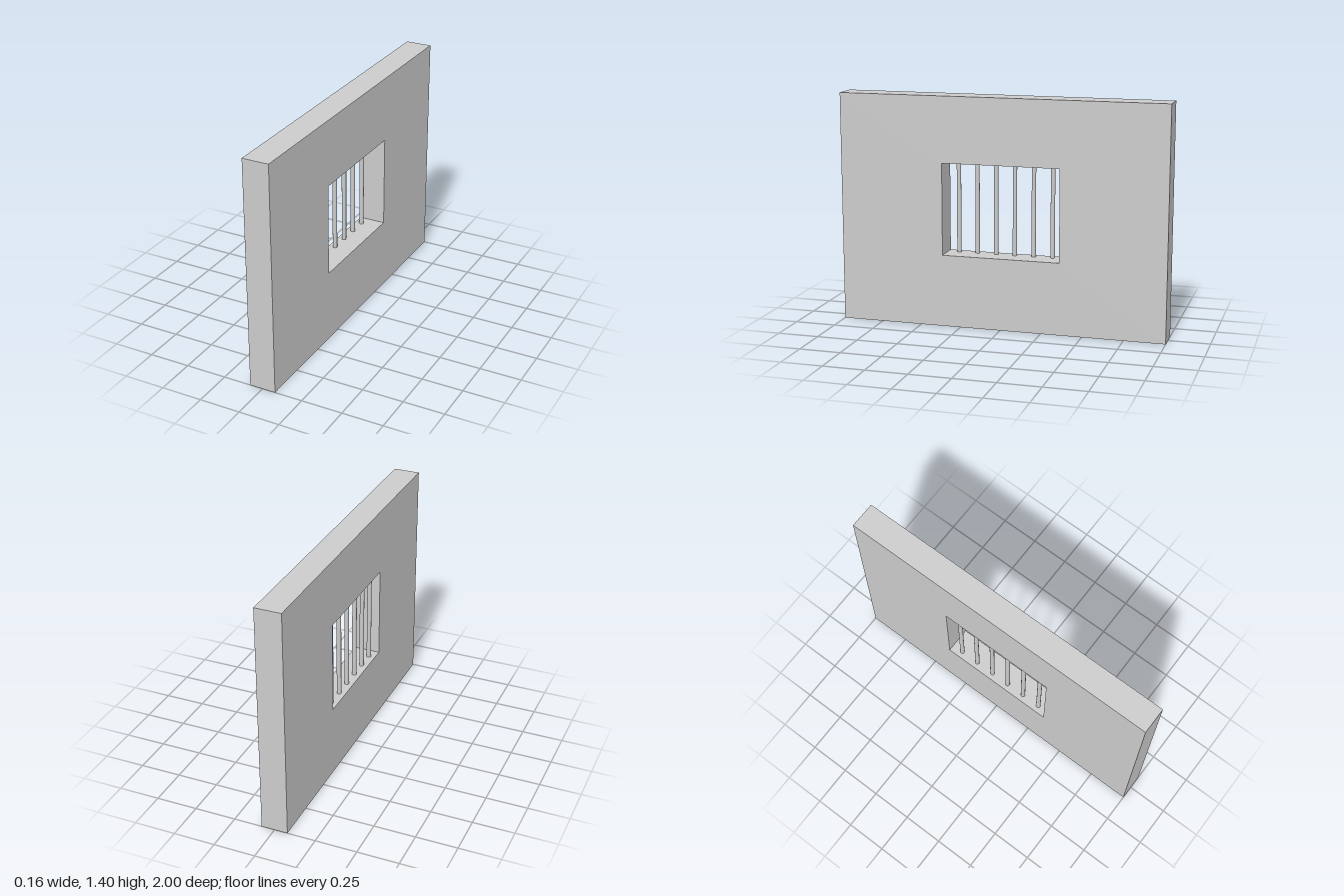
import * as THREE from 'three';

export function createModel() {
  const group = new THREE.Group();
  const material = new THREE.MeshStandardMaterial({ color: 0xcccccc });

  const thickness = 0.16, height = 1.4, halfLength = 1;
  const sill = 0.44, lintel = 1.0, halfOpening = 0.36;

  // Closed rectangle, used for the wall outline and the window opening
  const rectangle = (target, halfWidth, bottom, top) => {
    target.moveTo(-halfWidth, bottom);
    target.lineTo(halfWidth, bottom);
    target.lineTo(halfWidth, top);
    target.lineTo(-halfWidth, top);
    target.closePath();
    return target;
  };

  // Wall slab with a window, extruded and turned to run along z
  const outline = rectangle(new THREE.Shape(), halfLength, 0, height);
  outline.holes.push(rectangle(new THREE.Path(), halfOpening, sill, lintel));
  const wallGeometry = new THREE.ExtrudeGeometry(outline, { depth: thickness, bevelEnabled: false });
  wallGeometry.translate(0, 0, -thickness / 2).rotateY(Math.PI / 2);
  const wall = new THREE.Mesh(wallGeometry, material);
  wall.name = 'wall';
  group.add(wall);

  // Six round bars, set towards the -x side of the opening
  const bars = new THREE.Group();
  bars.name = 'windowBars';
  const count = 6, spacing = 0.1165, radius = 0.0135;
  const barGeometry = new THREE.CylinderGeometry(radius, radius, lintel - sill, 12);
  for (let i = 0; i < count; i++) {
    const bar = new THREE.Mesh(barGeometry, material);
    bar.name = `bar${i + 1}`;
    bar.position.set(-0.04, (sill + lintel) / 2, (i - (count - 1) / 2) * spacing);
    bars.add(bar);
  }
  group.add(bars);

  return group;
}
